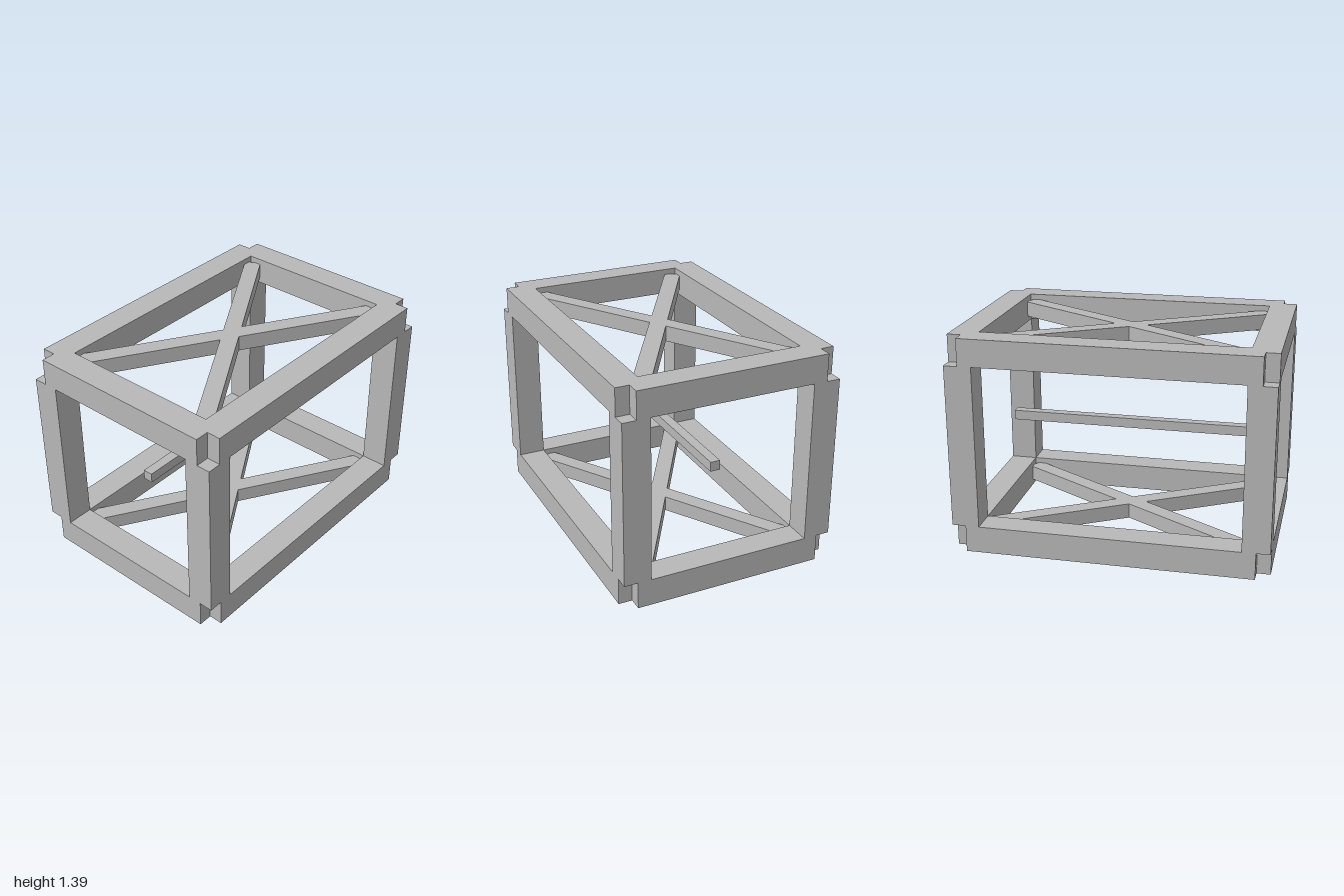
import * as THREE from 'three';

const X = 1, Z = 0.696, H = 1.392; // half width, half depth, height
const T = 0.174;                   // beam thickness
const N = T / 2;                   // corner notch

export function createModel() {
  const model = new THREE.Group();
  model.name = 'boxFrame';
  const grey = new THREE.MeshStandardMaterial({ color: 0xb8b8b8 });
  grey.name = 'grey';

  const add = (name, geometry, x, y, z, turn = 0) => {
    const mesh = new THREE.Mesh(geometry, grey);
    mesh.name = name;
    mesh.position.set(x, y, z);
    mesh.rotation.y = turn;
    model.add(mesh);
  };

  // Rectangular ring with notched outer corners
  const ringShape = new THREE.Shape([
    [X - N, -Z], [X - N, N - Z], [X, N - Z], [X, Z - N], [X - N, Z - N], [X - N, Z],
    [N - X, Z], [N - X, Z - N], [-X, Z - N], [-X, N - Z], [N - X, N - Z], [N - X, -Z],
  ].map(([a, b]) => new THREE.Vector2(a, b)));
  const a = X - T, b = Z - T;
  ringShape.holes.push(new THREE.Path(
    [[-a, -b], [-a, b], [a, b], [a, -b]].map(([u, v]) => new THREE.Vector2(u, v))));
  const ring = new THREE.ExtrudeGeometry(ringShape, { depth: T, bevelEnabled: false });
  ring.rotateX(-Math.PI / 2);

  // Bottom and top: ring plus crossed braces set into its middle
  const brace = new THREE.BoxGeometry(1.914, 0.1, 0.108);
  const angle = Math.atan(0.609);
  for (const [level, y] of [['bottom', 0], ['top', H - T]]) {
    add(level + 'Ring', ring, 0, y, 0);
    add(level + 'BraceA', brace, 0, y + T / 2, 0, angle);
    add(level + 'BraceB', brace, 0, y + T / 2, 0, -angle);
  }

  // Corner posts between the rings
  const post = new THREE.BoxGeometry(T, H - 2 * T, T);
  for (const sx of [-1, 1])
    for (const sz of [-1, 1])
      add((sz > 0 ? 'front' : 'back') + (sx > 0 ? 'Left' : 'Right') + 'Post',
        post, sx * (X - T / 2), H / 2, sz * (Z - T / 2));

  // Floating bar in the centre
  add('centreBar', new THREE.BoxGeometry(1.566, 0.063, 0.063), 0, H / 2 + 0.002, 0);

  return model;
}
